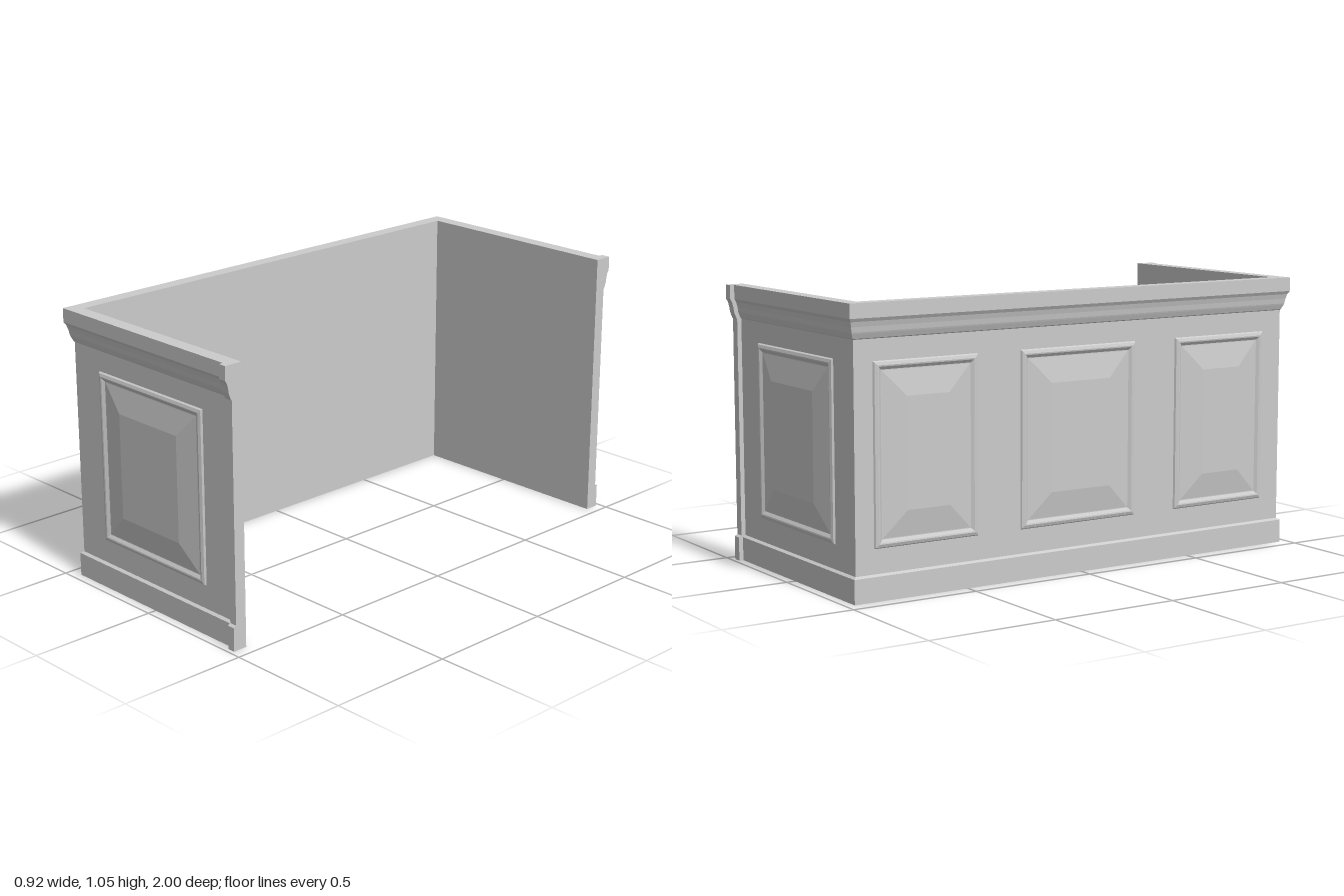
import * as THREE from 'three';

const material = new THREE.MeshStandardMaterial({ color: 0xcccccc, flatShading: true });

// wall faces, measured from the centre, and wall thickness
const SIDE_X = 0.436, END_Z = 0.955, THICK = 0.028, TRIM_X = 0.425;

// moulding cross-section: [distance out from the wall face, height]
const outline = [
  [0.011, 0], [0.011, 0.09], [0, 0.097],
  [0, 0.927], [0.003, 0.93], [0.01, 0.947], [0.012, 0.953], [0.015, 0.972],
  [0.02, 0.99], [0.027, 1.002], [0.027, 1.055],
];
const section = (shift) => [
  [-THICK, 0], ...outline.map(([d, y]) => [d + shift, y]), [-THICK, 1.055],
];

// Joins equal loops of points; optional flat caps follow the 2D contour
function loft(name, rings, contour, capStart, capEnd) {
  const pos = [];
  const tri = (a, b, c) => pos.push(...a, ...b, ...c);
  for (let i = 0; i < rings.length - 1; i++) {
    const p = rings[i], q = rings[i + 1];
    for (let j = 0; j < p.length; j++) {
      const k = (j + 1) % p.length;
      tri(p[j], p[k], q[k]);
      tri(p[j], q[k], q[j]);
    }
  }
  const faces = THREE.ShapeUtils.triangulateShape(
    contour.map(([x, y]) => new THREE.Vector2(x, y)), []);
  const first = rings[0], last = rings[rings.length - 1];
  for (const [a, b, c] of faces) {
    if (capStart) tri(first[a], first[c], first[b]);
    if (capEnd) tri(last[a], last[b], last[c]);
  }
  const geometry = new THREE.BufferGeometry();
  geometry.setAttribute('position', new THREE.Float32BufferAttribute(pos, 3));
  geometry.computeVertexNormals();
  const mesh = new THREE.Mesh(geometry, material);
  mesh.name = name;
  return mesh;
}

// Raised panel with a ridged frame, lying in the xy plane and facing +z
function panel(name, width, height) {
  // [inset from the edge, height above the wall]
  const steps = [[0, 0], [0.004, 0.007], [0.015, 0.011], [0.02, 0.01],
    [0.031, 0.002], [0.034, 0.002], [0.128, 0.017]];
  const rings = steps.map(([inset, out]) => {
    const w = width / 2 - inset, h = height / 2 - inset;
    return [[-w, -h, out], [w, -h, out], [w, h, out], [-w, h, out]];
  });
  return loft(name, rings, rings[rings.length - 1], false, true);
}

export function createModel() {
  const group = new THREE.Group();

  // U-shaped wall with mitred corners
  const wall = section(0);
  const stations = [
    (d, y) => [TRIM_X, y, END_Z + d],
    (d, y) => [-SIDE_X - d, y, END_Z + d],
    (d, y) => [-SIDE_X - d, y, -END_Z - d],
    (d, y) => [TRIM_X, y, -END_Z - d],
  ];
  group.add(loft('wall', stations.map((at) => wall.map(([d, y]) => at(d, y))), wall, false, false));

  // thicker trim posts closing the two free ends
  const trim = section(0.017);
  const post = (name, sign, xs) => group.add(loft(name,
    xs.map((x) => trim.map(([d, y]) => [x, y, sign * (END_Z + d)])), trim, true, true));
  post('frontTrimPost', 1, [0.456, TRIM_X]);
  post('backTrimPost', -1, [TRIM_X, 0.461]);

  // panels on the two short walls
  const midY = 0.518, height = 0.661;
  for (const [name, sign] of [['frontPanel', 1], ['backPanel', -1]]) {
    const p = panel(name, 0.574, height);
    p.position.set(-0.006, midY, sign * END_Z);
    p.rotation.y = sign > 0 ? 0 : Math.PI;
    group.add(p);
  }

  // three panels along the long wall
  for (const [name, z, width] of [
    ['sidePanelBack', -0.665, 0.43], ['sidePanelMiddle', -0.01, 0.515], ['sidePanelFront', 0.65, 0.43],
  ]) {
    const p = panel(name, width, height);
    p.position.set(-SIDE_X, midY, z);
    p.rotation.y = -Math.PI / 2;
    group.add(p);
  }
  return group;
}
